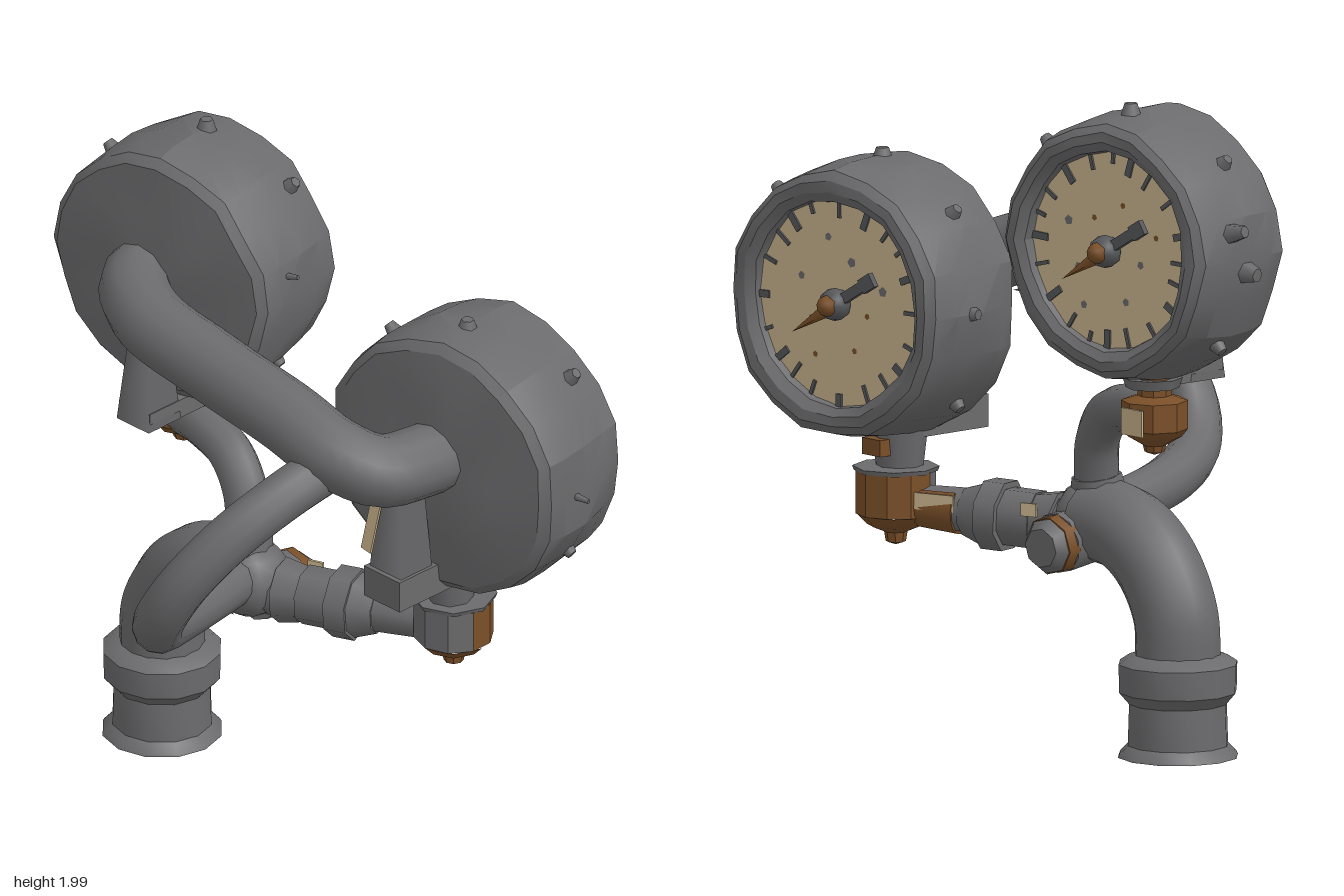
import * as THREE from 'three';
import { toCreasedNormals } from 'three/addons/utils/BufferGeometryUtils.js';

const paint = (name, color) => Object.assign(new THREE.MeshStandardMaterial({ color }), { name });
const V = (p) => new THREE.Vector3(...p);

export function createModel() {
  const iron = paint('iron grey', 0x6b6b6d);
  const dark = paint('dark iron', 0x56575a);
  const rust = paint('rust brown', 0x7a4f28);
  const ivory = paint('aged ivory', 0xcab48d);
  const model = new THREE.Group();
  model.name = 'twinGauges';

  const add = (parent, name, geo, mat, pos = [0, 0, 0], rot = [0, 0, 0]) => {
    const m = new THREE.Mesh(geo, mat);
    m.name = name;
    m.position.set(...pos);
    m.rotation.set(...rot);
    parent.add(m);
    return m;
  };
  // Turned part; profile runs bottom to top as [radius, height]
  const turned = (profile, sides, start = 0, sweep = Math.PI * 2, crease = 0.6) =>
    toCreasedNormals(new THREE.LatheGeometry(
      profile.map(([r, y]) => new THREE.Vector2(r, y)), sides, start, sweep), crease);
  const pipe = (name, pts, r, sides = 12) =>
    add(model, name, new THREE.TubeGeometry(new THREE.CatmullRomCurve3(pts.map(V)), 36, r, sides), iron);
  // Straight tapered rod between two points
  const rod = (name, a, b, r0, r1, mat, sides = 10, start = 0, sweep = Math.PI * 2) => {
    const A = V(a), B = V(b), d = B.clone().sub(A);
    const m = add(model, name, new THREE.CylinderGeometry(r1, r0, d.length(), sides, 1, false, start, sweep), mat);
    m.position.copy(A.add(B).multiplyScalar(0.5));
    m.quaternion.setFromUnitVectors(new THREE.Vector3(0, 1, 0), d.normalize());
  };
  // Worn, hammered surface: smooth position-based displacement
  const dent = (geo, amount, seed) => {
    const p = geo.attributes.position;
    for (let i = 0; i < p.count; i++) {
      const x = p.getX(i), y = p.getY(i), z = p.getZ(i);
      const k = 1 + amount * Math.sin(17 * x + 9 * y + seed) * Math.cos(19 * z - 7 * y + seed * 2);
      p.setXYZ(i, x * k, y + amount * 0.35 * Math.sin(13 * x + 15 * z + seed), z * k);
    }
    return geo;
  };

  // One gauge: the dial looks along local -z
  function gauge(name, pos, size, seed, studs) {
    const g = new THREE.Group();
    g.name = name;
    g.position.set(...pos);
    g.rotation.y = 0.14;
    model.add(g);
    const profile = [[0.295, -0.14], [0.303, -0.18], [0.33, -0.2], [0.36, -0.2], [0.385, -0.18], [0.4, -0.1],
      [0.408, 0.0], [0.406, 0.1], [0.397, 0.16], [0.37, 0.185], [0.2, 0.203], [0, 0.208]]
      .map(([r, y]) => new THREE.Vector2(r * size, y));
    const shell = dent(new THREE.LatheGeometry(profile, 20), 0.02, seed).rotateX(Math.PI / 2);
    add(g, 'gaugeShell', toCreasedNormals(shell, 0.4), iron);
    // Dial plate with a worn scale round its edge
    const R = 0.308 * size;
    add(g, 'dial', new THREE.CircleGeometry(R, 28), ivory, [0, 0, -0.155], [0, Math.PI, 0]);
    for (let i = 0; i < 20; i++) {
      const a = i / 20 * Math.PI * 2 + 0.06 * Math.sin(i * 5 + seed);
      const len = 0.04 + 0.03 * Math.abs(Math.sin(i * 2.3 + seed));
      const r = R - len / 2;
      add(g, 'dialMark', new THREE.BoxGeometry(len, i % 3 ? 0.012 : 0.022, 0.008), dark,
        [r * Math.cos(a), r * Math.sin(a), -0.157], [0, 0, a]);
    }
    for (let i = 0; i < 8; i++) {
      const a = i * 2.4 + seed, r = 0.11 + 0.013 * i;
      add(g, 'dialStain', new THREE.CircleGeometry(0.01 + 0.003 * (i % 3), 5), i % 3 ? iron : rust,
        [r * Math.cos(a), r * Math.sin(a), -0.158], [0, Math.PI, a]);
    }
    // Needle, its counterweight and the hub
    const needle = new THREE.Group();
    needle.name = 'needle';
    needle.position.z = -0.18;
    needle.rotation.z = -0.55;
    g.add(needle);
    add(needle, 'pointer', new THREE.BoxGeometry(0.14, 0.032, 0.02), dark, [-0.09, 0, 0]);
    add(needle, 'pointerTip', new THREE.BoxGeometry(0.05, 0.045, 0.02), dark, [-0.15, 0, 0]);
    add(needle, 'counterweight', new THREE.ConeGeometry(0.028, 0.19, 5), rust, [0.1, 0, 0], [0, 0, -Math.PI / 2]);
    add(needle, 'hub', new THREE.IcosahedronGeometry(0.05, 1), dark);
    add(needle, 'hubCap', new THREE.SphereGeometry(0.032, 8, 6), rust, [0, 0, -0.035]);
    // Studs on the rim: angle in degrees, depth, length, radius
    for (const [deg, z, len, rad] of studs) {
      const a = deg * Math.PI / 180, r = 0.385 * size + len / 2;
      add(g, 'rimStud', new THREE.CylinderGeometry(rad * 0.55, rad, len, 6), iron,
        [r * Math.cos(a), r * Math.sin(a), z], [0, 0, a - Math.PI / 2]);
    }
  }
  gauge('upperGauge', [-0.53, 1.56, -0.235], 0.99, 1,
    [[90, -0.06, 0.05, 0.035], [45, -0.1, 0.045, 0.03], [137, 0.02, 0.04, 0.03], [168, -0.06, 0.07, 0.035],
      [186, 0.0, 0.06, 0.04], [12, 0.06, 0.06, 0.012], [222, -0.02, 0.05, 0.03], [320, 0, 0.04, 0.03]]);
  gauge('lowerGauge', [0.518, 1.275, -0.37], 1.035, 3.4,
    [[90, 0.04, 0.045, 0.035], [45, -0.08, 0.045, 0.03], [-2, 0.05, 0.06, 0.013], [137, 0.0, 0.045, 0.03],
      [180, -0.04, 0.04, 0.03], [325, 0.0, 0.04, 0.03], [225, 0.03, 0.04, 0.03]]);

  // Cross pipe joining the backs of both gauges
  pipe('crossPipe', [[-0.57, 1.56, -0.1], [-0.54, 1.55, 0.0], [-0.4, 1.525, 0.09], [-0.1, 1.48, 0.108],
    [0.2, 1.435, 0.108], [0.4, 1.38, 0.095], [0.505, 1.335, 0.02], [0.53, 1.32, -0.12], [0.53, 1.31, -0.24]], 0.11);

  // Slender loop swinging forward and back to the stand
  pipe('loopPipe', [[0.375, 1.335, 0.08], [0.345, 1.28, 0.26], [0.285, 1.18, 0.42], [0.2, 1.035, 0.525],
    [0.11, 0.89, 0.538], [0.025, 0.785, 0.465], [-0.05, 0.73, 0.32], [-0.12, 0.695, 0.1], [-0.17, 0.68, -0.1]], 0.077);

  // Stand: flared foot, collar and bent neck
  add(model, 'standFoot', turned([[0, 0], [0.182, 0], [0.178, 0.008], [0.152, 0.035], [0.148, 0.16], [0.178, 0.195],
    [0.18, 0.28], [0.15, 0.3], [0.12, 0.31]], 12), iron, [-0.53, 0, -0.1]);
  pipe('standNeck', [[-0.53, 0.27, -0.1], [-0.52, 0.42, -0.1], [-0.44, 0.56, -0.1], [-0.32, 0.645, -0.1],
    [-0.16, 0.67, -0.1]], 0.128, 14);
  add(model, 'junction', new THREE.SphereGeometry(0.122, 12, 8), iron, [-0.16, 0.665, -0.1]);

  // Rear drain stub
  rod('drainStub', [-0.14, 0.62, -0.1], [-0.15, 0.605, -0.24], 0.09, 0.092, iron);
  rod('drainRing', [-0.15, 0.605, -0.235], [-0.155, 0.602, -0.28], 0.091, 0.088, rust, 8);
  rod('drainCap', [-0.155, 0.602, -0.28], [-0.16, 0.6, -0.315], 0.085, 0.06, iron, 8);

  // Branch to the lower gauge: stepped fittings along one line
  const at = (t) => [-0.14 + 0.6 * t, 0.64 + 0.02 * t, -0.11 - 0.22 * t];
  const fittings = [[0, 0.22, 0.08, 0.085], [0.13, 0.25, 0.1, 0.085], [0.25, 0.44, 0.09, 0.09],
    [0.41, 0.52, 0.11, 0.11], [0.52, 0.63, 0.1, 0.075]];
  for (const [t0, t1, r0, r1] of fittings) rod('branchFitting', at(t0), at(t1), r0, r1, iron, 8);
  rod('branchTaper', at(0.6), at(0.92), 0.07, 0.06, iron);
  rod('branchRust', at(0.66), at(0.9), 0.074, 0.065, rust, 6, Math.PI * 0.6, Math.PI * 0.8);
  add(model, 'wornPatch', new THREE.BoxGeometry(0.13, 0.05, 0.008), ivory, [0.29, 0.68, -0.335], [0, 0.35, 0]);
  add(model, 'wornPatch', new THREE.BoxGeometry(0.05, 0.04, 0.008), ivory, [-0.03, 0.69, -0.245], [0, 0.35, 0]);

  // Lower union: rusty cup, grey front cover, flange, neck and bracket
  const cup = [[0, -0.125], [0.03, -0.115], [0.035, -0.085], [0.085, -0.065], [0.12, -0.03]];
  add(model, 'lowerCupBase', turned(cup, 8), rust, [0.465, 0.655, -0.33]);
  const wall = [[0.12, -0.03], [0.12, 0.1], [0, 0.1]];
  add(model, 'lowerCupFront', turned(wall, 4, -1.3, 2.6), iron, [0.465, 0.655, -0.33]);
  add(model, 'lowerCupRear', turned(wall, 6, 1.3, Math.PI * 2 - 2.6), rust, [0.465, 0.655, -0.33]);
  add(model, 'lowerFlange', new THREE.CylinderGeometry(0.13, 0.125, 0.014, 8), iron, [0.465, 0.76, -0.33]);
  add(model, 'lowerNeck', new THREE.CylinderGeometry(0.085, 0.07, 0.13, 8), iron, [0.47, 0.825, -0.31]);
  add(model, 'lowerNeckRust', new THREE.BoxGeometry(0.08, 0.05, 0.05), rust, [0.48, 0.83, -0.39]);
  add(model, 'lowerBracket', new THREE.CylinderGeometry(0.07, 0.1, 0.34, 4, 1).rotateY(Math.PI / 4), iron,
    [0.475, 1.03, -0.1]);
  add(model, 'bracketBase', new THREE.BoxGeometry(0.15, 0.1, 0.27), iron, [0.475, 0.905, -0.155]);
  add(model, 'bracketScrape', new THREE.BoxGeometry(0.04, 0.2, 0.008), ivory, [0.425, 1.11, -0.03], [-0.1, 0, -0.15]);

  // Upper union: cup under the upper gauge with its bracket and elbow pipe
  add(model, 'upperCup', turned([[0, -0.11], [0.03, -0.1], [0.035, -0.08], [0.08, -0.055], [0.1, -0.03],
    [0.1, 0.055], [0.05, 0.07], [0.05, 0.15]], 8), rust, [-0.56, 1.035, -0.22]);
  add(model, 'upperCupPlate', new THREE.BoxGeometry(0.09, 0.08, 0.008), ivory, [-0.57, 1.035, -0.318]);
  add(model, 'upperFlange', new THREE.CylinderGeometry(0.09, 0.08, 0.03, 8), iron, [-0.54, 1.14, -0.21]);
  add(model, 'upperBracket', new THREE.CylinderGeometry(0.06, 0.095, 0.28, 4, 1).rotateY(Math.PI / 4), iron,
    [-0.475, 1.26, 0.01]);
  add(model, 'upperBracketBase', new THREE.BoxGeometry(0.13, 0.06, 0.24), iron, [-0.475, 1.15, -0.05]);
  pipe('elbowPipe', [[-0.54, 1.045, -0.19], [-0.42, 1.045, -0.17], [-0.29, 1.01, -0.15], [-0.21, 0.92, -0.13],
    [-0.18, 0.8, -0.11], [-0.17, 0.68, -0.1]], 0.068, 10);
  rod('elbowCollar', [-0.18, 0.74, -0.1], [-0.18, 0.8, -0.11], 0.085, 0.075, iron, 8);

  return model;
}
